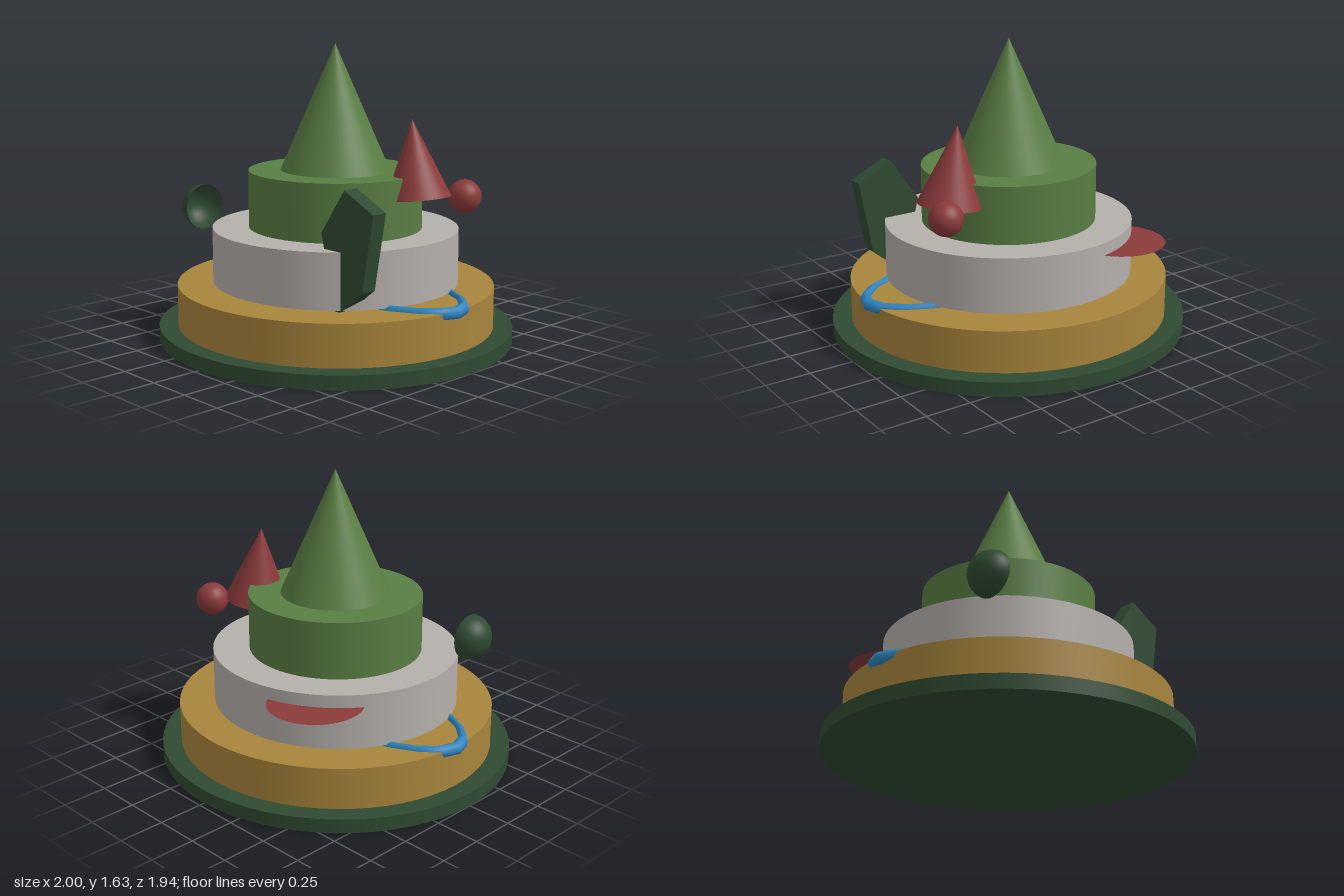
import * as THREE from 'three';

const mat = (name, color, side = THREE.FrontSide) => {
  const m = new THREE.MeshStandardMaterial({ color, side });
  m.name = name;
  return m;
};

export function createModel() {
  const model = new THREE.Group();
  model.name = 'tieredModel';

  const darkGreen = mat('dark green', 0x2f4a32, THREE.DoubleSide);
  const gold = mat('gold', 0xa8853c);
  const grey = mat('warm grey', 0xb4afab);
  const green = mat('leaf green', 0x597d43);
  const red = mat('red', 0x8b3a3a, THREE.DoubleSide);
  const blue = mat('blue', 0x2e86c1);

  const add = (name, geometry, material, x = 0, y = 0, z = 0) => {
    const mesh = new THREE.Mesh(geometry, material);
    mesh.name = name;
    mesh.position.set(x, y, z);
    model.add(mesh);
    return mesh;
  };

  // Stacked round tiers, slightly narrower front to back
  const tiers = [
    ['basePlate', 1, 1, 0, 0.078, darkGreen],
    ['lowerTier', 0.893, 0.893, 0.078, 0.307, gold],
    ['middleTier', 0.692, 0.692, 0.318, 0.62, grey],
    ['upperTier', 0.487, 0.487, 0.62, 0.936, green],
    ['spire', 0, 0.306, 0.936, 1.627, green],
  ];
  for (const [name, top, bottom, y0, y1, material] of tiers) {
    const tier = add(name, new THREE.CylinderGeometry(top, bottom, y1 - y0, 64), material, 0, (y0 + y1) / 2);
    tier.scale.z = 0.97;
  }

  // Oval ring resting in the top of the lower tier
  const ringGeometry = new THREE.TorusGeometry(0.895, 0.034, 8, 24).rotateX(Math.PI / 2);
  add('ovalRing', ringGeometry, blue, 0, 0.299, 0).scale.z = 0.388;

  // Leaning cone and small ball
  const cone = add('leaningCone', new THREE.ConeGeometry(0.177, 0.423, 48), red, 0.453, 1.028, -0.155);
  cone.rotation.z = 0.12;
  add('ball', new THREE.SphereGeometry(0.091, 32, 20), red, 0.63, 0.822, -0.357);

  // Thin disc through the back of the middle tier
  add('thinDisc', new THREE.CircleGeometry(0.255, 48).rotateX(-Math.PI / 2), red, -0.37, 0.55, -0.51);

  // Open half dome bulging to the model's right
  const domeGeometry = new THREE.SphereGeometry(0.126, 32, 12, 0, Math.PI * 2, 0, Math.PI / 2).rotateZ(Math.PI / 2);
  add('halfDome', domeGeometry, darkGreen, -0.582, 0.707, 0.457);

  // Upright five-sided slab
  const outline = [[0.535, 0.94], [0.369, 0.7], [0.475, 0.285], [0.663, 0.436], [0.737, 0.842]];
  const slab = new THREE.Shape(outline.map(([x, y]) => new THREE.Vector2(x, y)));
  add('fiveSidedSlab', new THREE.ExtrudeGeometry(slab, { depth: 0.09, bevelEnabled: false }), darkGreen, 0, 0, 0.364);

  return model;
}
